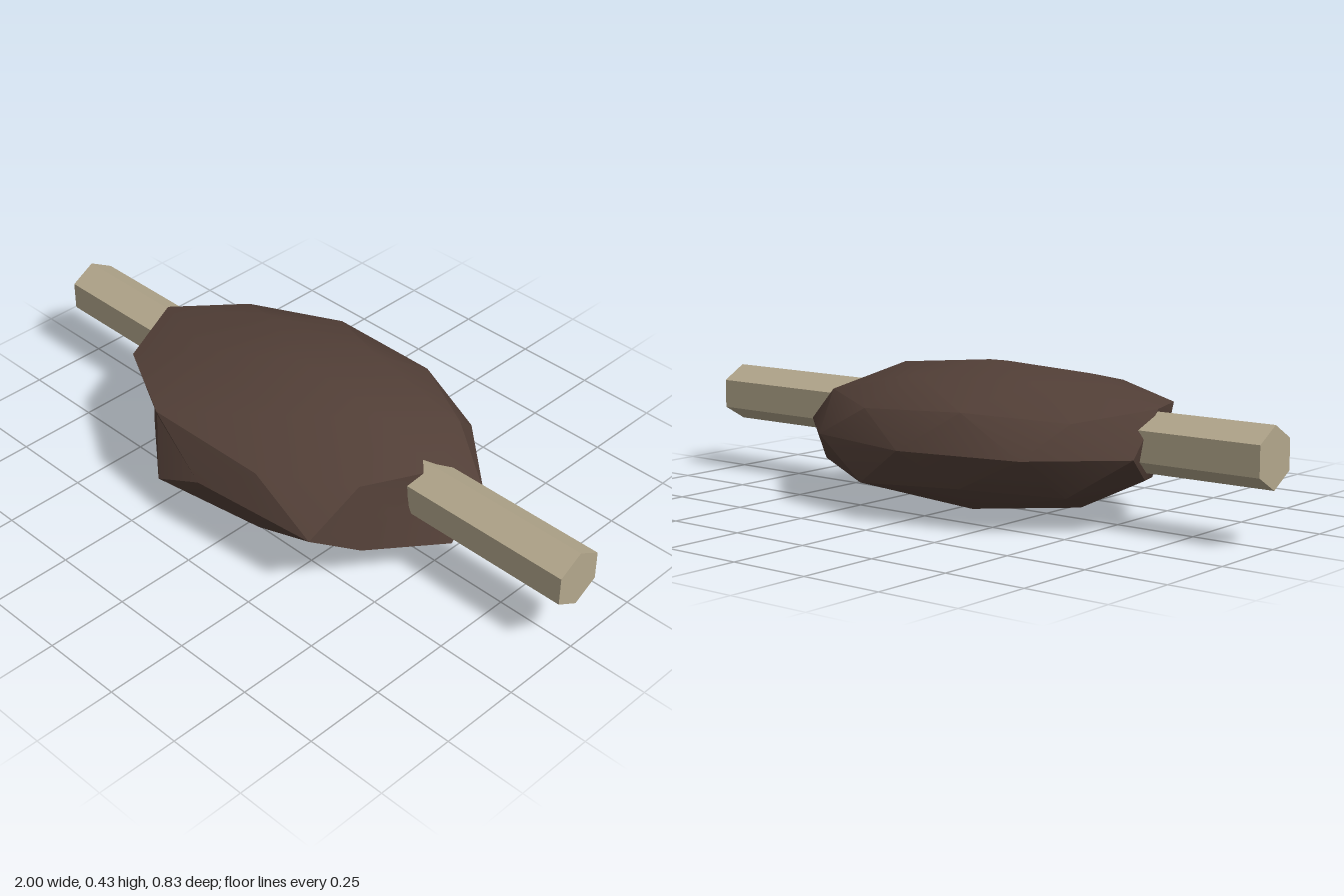
import * as THREE from 'three';
import { toCreasedNormals } from 'three/addons/utils/BufferGeometryUtils.js';

const meatMat = new THREE.MeshStandardMaterial({ color: 0x523f37 });
meatMat.name = 'roasted meat brown';
const woodMat = new THREE.MeshStandardMaterial({ color: 0xb3a78c });
woodMat.name = 'pale wood';

// Icosphere standing on a vertex, so that ten vertices lie on its equator
function icosphere() {
  const v = [0, 1, 0], f = [], h = 1 / Math.sqrt(5), r = 2 * h;
  for (const [y, start] of [[h, 0], [-h, 36]]) {
    for (let i = 0; i < 5; i++) {
      const a = THREE.MathUtils.degToRad(start + 72 * i);
      v.push(r * Math.cos(a), y, r * Math.sin(a));
    }
  }
  v.push(0, -1, 0);
  for (let i = 0; i < 5; i++) {
    const j = (i + 1) % 5, u = 1 + i, u2 = 1 + j, l = 6 + i, l2 = 6 + j;
    f.push(0, u2, u, u, u2, l, l2, l, u2, 11, l, l2);
  }
  return new THREE.PolyhedronGeometry(v, f, 1, 1);
}

// Lumps and dents: height on the unit sphere, angle round it, new position
const lumps = [
  [0, 18, 0.44, 0.225, 0.12],
  [0, 54, 0.37, 0.225, 0.38],
  [0, 126, -0.36, 0.225, 0.29],
  [0, 162, -0.58, 0.225, 0.11],
  [-0.53, 0, 0.56, 0.105, 0],
  [-0.45, 108, -0.23, 0.12, 0.405],
  [0.53, 108, -0.24, 0.352, 0.39],
  [0.45, 144, -0.53, 0.33, 0.23],
  [0.45, 0, 0.48, 0.32, 0],
  [0.53, 180, -0.63, 0.345, 0],
  [-0.45, 180, -0.59, 0.14, 0],
  [-0.53, -72, 0.13, 0.105, -0.38],
];

function meatGeometry() {
  const geo = icosphere();
  const pos = geo.attributes.position;
  for (let i = 0; i < pos.count; i++) {
    const x = pos.getX(i), y = pos.getY(i), z = pos.getZ(i);
    const deg = THREE.MathUtils.radToDeg(Math.atan2(z, x));
    const lump = lumps.find(([ly, a]) =>
      Math.abs(ly - y) < 0.1 && Math.cos(THREE.MathUtils.degToRad(deg - a)) > 0.99);
    if (lump) pos.setXYZ(i, lump[2], lump[3], lump[4]);
    else pos.setXYZ(i, -0.04 + 0.63 * x, 0.22 + 0.216 * y, 0.417 * z);
  }
  geo.deleteAttribute('uv');
  geo.deleteAttribute('normal');
  return toCreasedNormals(geo, Math.PI / 6);
}

export function createModel() {
  const group = new THREE.Group();
  group.name = 'meatOnStick';

  const meat = new THREE.Mesh(meatGeometry(), meatMat);
  meat.name = 'meat';

  // Six-sided stick, corners up and down
  const stickGeo = new THREE.CylinderGeometry(0.088, 0.088, 2, 6)
    .rotateY(Math.PI / 2).rotateZ(Math.PI / 2).translate(0, 0.25, 0);
  const stick = new THREE.Mesh(toCreasedNormals(stickGeo, 0.3), woodMat);
  stick.name = 'stick';

  group.add(meat, stick);
  return group;
}
